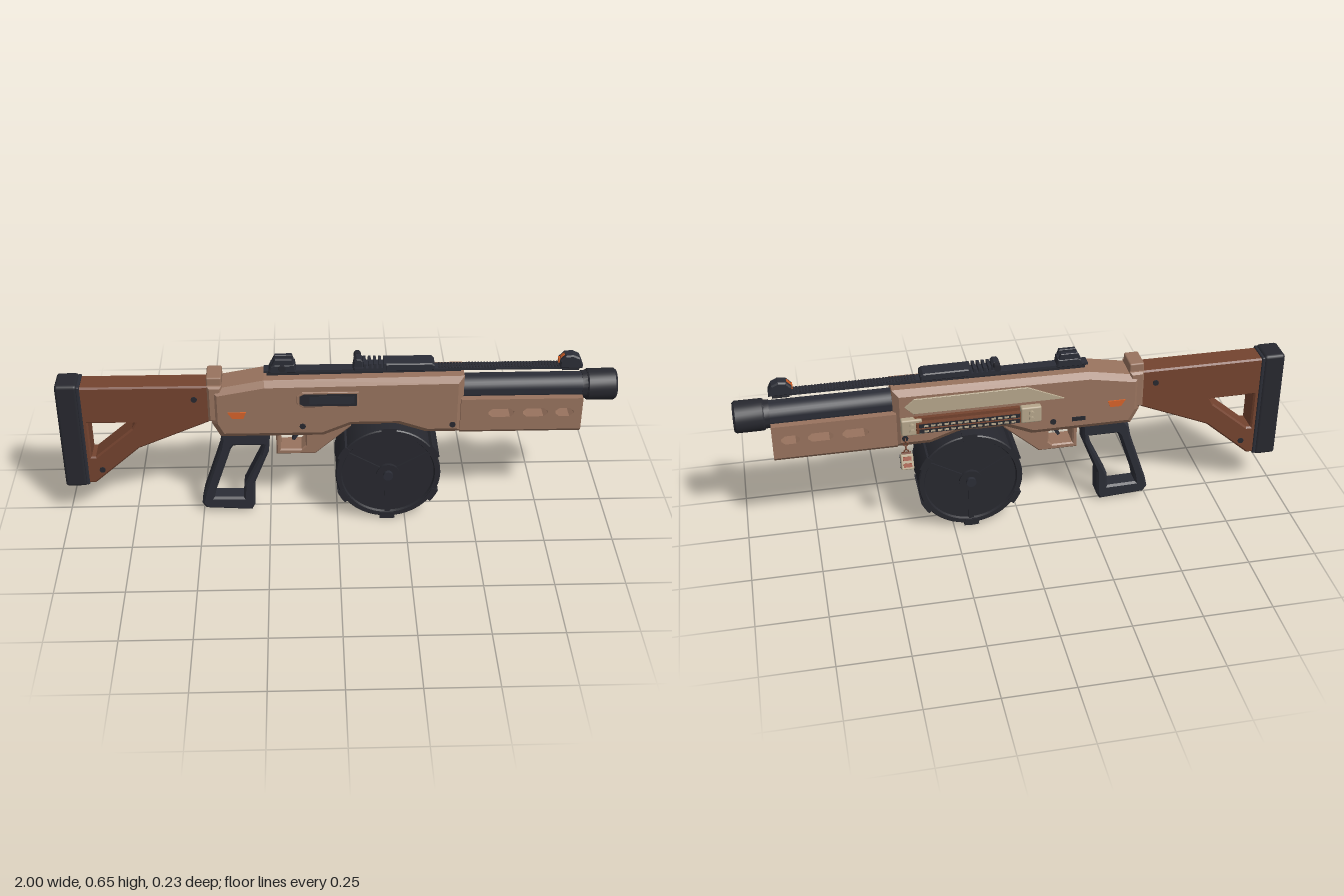
import * as THREE from 'three';
import { toCreasedNormals } from 'three/addons/utils/BufferGeometryUtils.js';
import { RoundedBoxGeometry } from 'three/addons/geometries/RoundedBoxGeometry.js';

const mat = (name, color) => {
  const m = new THREE.MeshStandardMaterial({ color });
  m.name = name;
  return m;
};

export function createModel() {
  const tan = mat('tan shell', 0x98735e);
  const wood = mat('red brown stock', 0x74432f);
  const dark = mat('gunmetal', 0x2b2d36);
  const black = mat('black polymer', 0x27282f);
  const khaki = mat('khaki', 0xb5a68b);
  const rust = mat('rust red', 0x9a4a30);
  const orange = mat('orange', 0xd5622a);

  const root = new THREE.Group();
  root.name = 'shotgun';
  const gun = new THREE.Group();
  gun.name = 'gunBody';
  gun.position.z = 0.008;
  root.add(gun);

  const add = (name, geo, material, x = 0, y = 0, z = 0, parent = gun) => {
    const m = new THREE.Mesh(geo, material);
    m.name = name;
    m.position.set(x, y, z);
    parent.add(m);
    return m;
  };
  const vecs = (pts) => pts.map(([x, y]) => new THREE.Vector2(x, y));
  // outline wound clockwise or not, so that outer walls and hole walls face the right way
  const wound = (pts, clockwise) => {
    const v = vecs(pts);
    return THREE.ShapeUtils.isClockWise(v) === clockwise ? v : v.reverse();
  };
  // side outline extruded symmetrically about z = 0 with chamfered edges
  const slab = (pts, half, bevel = 0, holes = [], bevelZ = bevel) => {
    const shape = new THREE.Shape(wound(pts, false));
    holes.forEach((h) => shape.holes.push(new THREE.Path(wound(h, true))));
    const depth = 2 * (half - bevelZ);
    const g = new THREE.ExtrudeGeometry(shape, {
      depth, bevelEnabled: bevel > 0, bevelSize: bevel, bevelOffset: -bevel,
      bevelThickness: bevelZ, bevelSegments: 1,
    });
    return g.translate(0, 0, -depth / 2);
  };
  // box given by its limits
  const box = (name, material, x0, x1, y0, y1, z0, z1, parent = gun) =>
    add(name, new THREE.BoxGeometry(x1 - x0, y1 - y0, z1 - z0), material,
      (x0 + x1) / 2, (y0 + y1) / 2, (z0 + z1) / 2, parent);
  const lathe = (pts, segs = 32) => toCreasedNormals(new THREE.LatheGeometry(vecs(pts), segs), 0.5);
  const discZ = (r, len, segs = 16) =>
    toCreasedNormals(new THREE.CylinderGeometry(r, r, len, segs).rotateX(Math.PI / 2), 0.6);

  // Stock with triangular cutout, and butt pad
  add('stock', slab([[-0.93, 0.56], [-0.45, 0.56], [-0.45, 0.415], [-0.72, 0.30], [-0.89, 0.15], [-0.93, 0.15]],
    0.045, 0.006, [[[-0.895, 0.41], [-0.725, 0.41], [-0.74, 0.385], [-0.88, 0.265], [-0.895, 0.265]]]), wood);
  add('buttPad', new RoundedBoxGeometry(0.08, 0.432, 0.102, 2, 0.012), black, -0.96, 0.355);
  add('buttPadRim', new RoundedBoxGeometry(0.014, 0.42, 0.098, 2, 0.005), dark, -0.918, 0.355);

  // Receiver
  add('receiver', slab([[-0.45, 0.55], [-0.26, 0.585], [0.45, 0.593], [0.45, 0.36], [0.32, 0.36],
    [0.22, 0.395], [0.05, 0.395], [-0.05, 0.352], [-0.42, 0.352], [-0.45, 0.41]],
    0.067, 0.022, [], 0.018), tan);
  add('rearCollar', slab([[-0.462, 0.565], [-0.41, 0.565], [-0.41, 0.42], [-0.462, 0.42]], 0.06, 0.008), tan);
  add('rearCap', new RoundedBoxGeometry(0.054, 0.04, 0.09, 2, 0.006), tan, -0.437, 0.575);
  add('triggerGuard', slab([[-0.222, 0.41], [-0.222, 0.264], [-0.08, 0.264], [0.05, 0.38], [0.05, 0.41]], 0.042, 0.005,
    [[[-0.205, 0.35], [-0.205, 0.285], [-0.13, 0.285], [-0.115, 0.30], [-0.115, 0.35]]]), tan);
  add('trigger', slab([[-0.17, 0.36], [-0.14, 0.36], [-0.142, 0.325], [-0.155, 0.305], [-0.165, 0.308], [-0.154, 0.33]],
    0.012), dark);
  for (const s of [1, -1]) {
    add('orangeMark', slab([[-0.392, 0.465], [-0.326, 0.465], [-0.336, 0.44], [-0.376, 0.44]], 0.0045),
      orange, 0, 0, s * 0.067);
    for (const [x, y, z] of [[-0.51, 0.507, 0.045], [-0.86, 0.21, 0.045], [-0.125, 0.402, 0.067], [0.413, 0.40, 0.067]])
      add('pin', discZ(0.011, 0.008, 12), black, x, y, s * z);
  }
  box('releaseButton', black, -0.245, -0.195, 0.396, 0.412, -0.07, -0.06);

  // Ejection port on the front side
  add('ejectionPortFrame', slab([[-0.145, 0.53], [-0.125, 0.546], [0.075, 0.546], [0.075, 0.484], [-0.125, 0.484],
    [-0.145, 0.50]], 0.006, 0.002), tan, 0, 0, 0.067);
  add('ejectionPort', slab([[-0.135, 0.53], [-0.12, 0.539], [0.068, 0.539], [0.068, 0.49], [-0.12, 0.49],
    [-0.135, 0.50]], 0.004), black, 0, 0, 0.0705);
  box('bolt', dark, -0.10, 0.06, 0.50, 0.53, 0.072, 0.0765);

  // Pale plate and shell carrier on the back side
  add('sidePlate', slab([[0.41, 0.53], [0.375, 0.56], [-0.03, 0.56], [-0.165, 0.50], [0.38, 0.50]], 0.004, 0.001),
    khaki, 0, 0, -0.069);
  const carrier = new THREE.Group();
  carrier.name = 'shellCarrier';
  gun.add(carrier);
  box('carrierPlate', wood, 0, 0.38, 0.423, 0.487, -0.082, -0.066, carrier);
  for (const x of [-0.04, 0.39])
    add('carrierEnd', new RoundedBoxGeometry(0.075, 0.064, 0.028, 2, 0.006), khaki, x, 0.455, -0.077, carrier);
  for (const y of [0.444, 0.466]) {
    box('carrierRail', wood, 0, 0.375, y - 0.009, y + 0.009, -0.1, -0.08, carrier);
    box('railFace', black, 0.005, 0.365, y - 0.008, y + 0.007, -0.102, -0.099, carrier);
    for (let i = 0; i < 14; i++)
      box('railStud', khaki, 0.02 + i * 0.024, 0.036 + i * 0.024, y - 0.004, y + 0.003, -0.104, -0.101, carrier);
    for (const x of [-0.04, 0.39]) add('endKnob', discZ(0.009, 0.02, 10), khaki, x, y, -0.092, carrier);
  }

  // Hanging charm
  const charm = new THREE.Group();
  charm.name = 'charm';
  charm.position.set(0.413, 0.32, -0.096);
  charm.rotation.x = 0.45;
  gun.add(charm);
  add('charmBlock', new RoundedBoxGeometry(0.045, 0.056, 0.026, 2, 0.004), khaki, 0, 0, 0, charm);
  box('charmFront', black, -0.024, 0.024, -0.026, 0.026, 0.011, 0.015, charm);
  box('charmTop', wood, -0.016, 0.016, 0.024, 0.034, -0.008, 0.012, charm);
  for (const y of [-0.012, 0.012]) box('charmStud', rust, -0.015, 0.015, y - 0.007, y + 0.007, -0.018, -0.012, charm);
  for (let i = 0; i < 4; i++) {
    const link = add('chainLink', new THREE.TorusGeometry(0.008, 0.0025, 6, 10), wood, 0.413, 0.355 + i * 0.013, -0.083 + i * 0.004);
    link.rotation.y = (i % 2) * Math.PI / 2;
  }

  // Hollow barrel and muzzle collar
  const barrel = new THREE.Group();
  barrel.name = 'barrel';
  barrel.position.y = 0.5215;
  gun.add(barrel);
  add('barrelTube', lathe([[0.032, 0.42], [0.047, 0.42], [0.047, 0.89], [0.032, 0.89], [0.032, 0.42]])
    .rotateZ(-Math.PI / 2), dark, 0, 0, 0, barrel);
  add('muzzle', lathe([[0.0325, 0.875], [0.05, 0.875], [0.051, 0.893], [0.054, 0.893], [0.057, 0.898],
    [0.057, 0.992], [0.051, 1.0], [0.036, 1.0], [0.0325, 0.985], [0.0325, 0.875]])
    .rotateZ(-Math.PI / 2), black, 0, 0, 0, barrel);

  // Handguard with see-through slots and a tapered underside
  const slot = (x0, x1, y = 0.448, h = 0.017) =>
    [[x0, y - 0.005], [x0 + 0.014, y - h], [x1 - 0.014, y - h], [x1, y - 0.005],
      [x1, y + 0.005], [x1 - 0.014, y + h], [x0 + 0.014, y + h], [x0, y + 0.005]];
  add('handguard', slab([[0.44, 0.505], [0.876, 0.505], [0.876, 0.376], [0.44, 0.376]], 0.07, 0,
    [slot(0.54, 0.632), slot(0.663, 0.752), slot(0.78, 0.845)]), tan);
  const under = new THREE.Shape(vecs([[-0.07, 0.376], [-0.055, 0.36], [0.055, 0.36], [0.07, 0.376]]));
  add('handguardUnderside', new THREE.ExtrudeGeometry(under, { depth: 0.436, bevelEnabled: false }).rotateY(Math.PI / 2),
    tan, 0.44);
  box('underRail', dark, 0.50, 0.84, 0.353, 0.362, -0.02, 0.02);
  for (let i = 0; i < 10; i++) box('underRailTooth', black, 0.51 + i * 0.033, 0.53 + i * 0.033, 0.342, 0.354, -0.022, 0.022);

  // Ventilated top rib
  box('topRib', dark, -0.26, 0.82, 0.598, 0.607, -0.02, 0.02);
  box('ribBase', black, -0.25, 0.44, 0.58, 0.599, -0.016, 0.016);
  for (let i = 0; i < 40; i++) box('ribNotch', black, 0.36 + i * 0.0108, 0.366 + i * 0.0108, 0.606, 0.61, -0.018, 0.018);

  // Mid rail with teeth and side knob
  add('midRail', slab([[0.17, 0.605], [0.17, 0.634], [0.335, 0.634], [0.345, 0.625], [0.345, 0.605]], 0.032, 0.004), dark);
  box('midRailBase', dark, 0.06, 0.18, 0.605, 0.617, -0.03, 0.03);
  for (let i = 0; i < 5; i++) box('midRailTooth', dark, 0.092 + i * 0.018, 0.102 + i * 0.018, 0.616, 0.634, -0.03, 0.03);
  add('knobMount', slab([[0.055, 0.605], [0.06, 0.64], [0.068, 0.648], [0.082, 0.648], [0.09, 0.64], [0.09, 0.605]], 0.022, 0.003), dark);
  add('knob', discZ(0.013, 0.026, 12), black, 0.073, 0.636, -0.033);

  // Rear sight
  add('rearSightBase', slab([[-0.245, 0.6], [-0.235, 0.625], [-0.222, 0.632], [-0.15, 0.632], [-0.145, 0.6]], 0.026, 0.004), dark);
  for (const s of [1, -1])
    add('rearSightWing', slab([[-0.238, 0.615], [-0.22, 0.653], [-0.16, 0.653], [-0.148, 0.615]], 0.008, 0.002), dark, 0, 0, s * 0.016);
  add('rearSightScrew', discZ(0.013, 0.01, 12), black, -0.195, 0.619, 0.028);

  // Front sight
  add('frontSight', slab([[0.79, 0.6], [0.79, 0.63], [0.808, 0.65], [0.835, 0.653], [0.86, 0.641], [0.872, 0.615], [0.872, 0.6]],
    0.023, 0.005), dark);
  box('frontSightFoot', black, 0.80, 0.86, 0.592, 0.602, -0.02, 0.02);
  box('frontSightDot', orange, 0.786, 0.792, 0.616, 0.634, -0.009, 0.009);
  add('frontSightTopDot', new THREE.BoxGeometry(0.018, 0.004, 0.014), orange, 0.8, 0.642).rotation.z = 0.84;

  // Skeleton pistol grip
  add('pistolGrip', slab([[-0.42, 0.33], [-0.40, 0.356], [-0.243, 0.356], [-0.25, 0.27], [-0.305, 0.13], [-0.308, 0.03],
    [-0.32, 0.007], [-0.49, 0.018], [-0.505, 0.04], [-0.495, 0.085], [-0.43, 0.28]], 0.036, 0.008,
    [[[-0.388, 0.285], [-0.378, 0.297], [-0.27, 0.297], [-0.282, 0.255], [-0.345, 0.12], [-0.35, 0.064], [-0.457, 0.066], [-0.45, 0.1]]]),
    dark);

  // Drum magazine
  const drum = new THREE.Group();
  drum.name = 'drumMagazine';
  drum.position.set(0.184, 0.2015, 0);
  gun.add(drum);
  add('drumShell', lathe([[0, -0.082], [0.168, -0.082], [0.172, -0.09], [0.188, -0.09], [0.192, -0.086], [0.192, -0.078],
    [0.189, -0.074], [0.189, 0.074], [0.192, 0.078], [0.192, 0.086], [0.188, 0.09], [0.172, 0.09], [0.168, 0.082], [0, 0.082]], 48)
    .rotateX(Math.PI / 2), black, 0, 0, 0, drum);
  for (let i = 0; i < 6; i++) {
    // curved lug that spans the drum's width
    const arc = new THREE.Shape();
    const a = Math.PI / 6 + i * Math.PI / 3;
    arc.absarc(0, 0, 0.2, a - 0.14, a + 0.14, false);
    arc.absarc(0, 0, 0.175, a + 0.14, a - 0.14, true);
    const g = new THREE.ExtrudeGeometry(arc, { depth: 0.186, bevelEnabled: false, curveSegments: 6 });
    add('drumLug', g, black, 0, 0, -0.093, drum);
  }
  for (const s of [1, -1]) {
    for (let i = 0; i < 3; i++) {
      const a = Math.PI / 6 + i * Math.PI * 2 / 3;
      const spoke = add('drumSpoke', new THREE.BoxGeometry(0.14, 0.02, 0.012), black,
        0.105 * Math.cos(a), 0.105 * Math.sin(a), s * 0.082, drum);
      spoke.rotation.z = a;
    }
    add('drumHub', discZ(0.042, 0.02, 24), black, 0, 0, s * 0.083, drum);
    add('drumKnob', discZ(0.018, 0.03, 16), dark, 0, 0, s * 0.091, drum);
  }
  return root;
}
